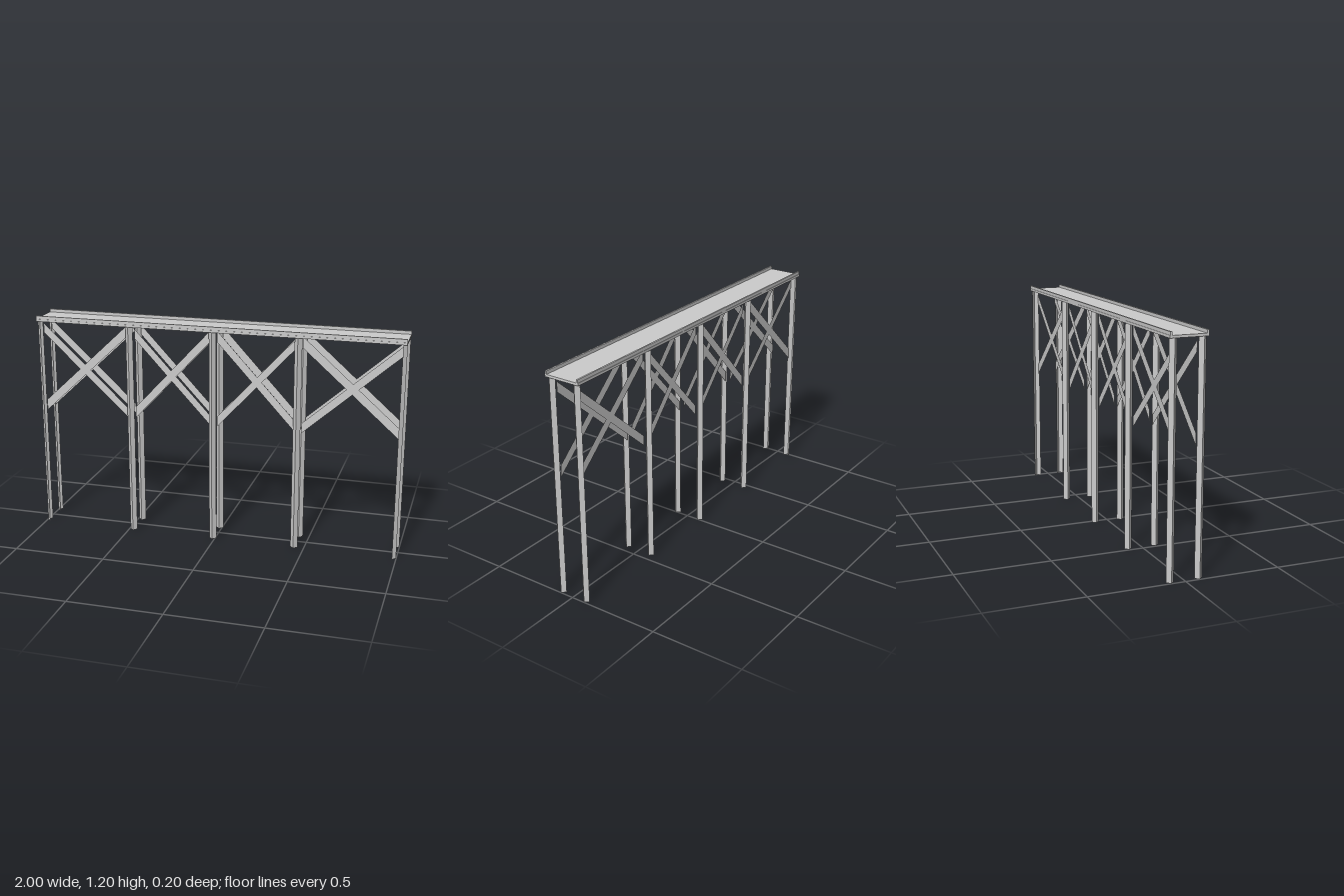
import * as THREE from 'three';

export function createModel() {
  const group = new THREE.Group();
  group.name = 'trestleBridge';
  const solid = new THREE.MeshStandardMaterial({ color: 0xcccccc, flatShading: true });
  const thin = new THREE.MeshStandardMaterial({ color: 0xcccccc, flatShading: true, side: THREE.DoubleSide });

  const add = (name, geometry, material, x = 0, y = 0, z = 0) => {
    const mesh = new THREE.Mesh(geometry, material);
    mesh.name = name;
    mesh.position.set(x, y, z);
    group.add(mesh);
    return mesh;
  };

  const deckBottom = 1.17, radius = 0.02;
  const postX = [-0.475, -0.013, 0.445];
  const rows = [{ z: 0.075, braceZ: 0.05 }, { z: -0.074, braceZ: -0.06 }];

  // Deck slab with a low curb along each edge
  add('deck', new THREE.BoxGeometry(2, 0.013, 0.198), solid, 0, deckBottom + 0.0065, 0);
  for (const s of [1, -1]) {
    add('curb', new THREE.BoxGeometry(2, 0.02, 0.009), solid, 0, 1.19, s * 0.0925);
  }

  // Diagonal brace: a thin strip with ends cut upright against the posts
  const brace = (x0, low0, high0, x1, low1, high1, z) => {
    const shape = new THREE.Shape([
      new THREE.Vector2(x0, low0), new THREE.Vector2(x1, low1),
      new THREE.Vector2(x1, high1), new THREE.Vector2(x0, high0),
    ]);
    add('brace', new THREE.ShapeGeometry(shape), thin, 0, 0, z);
  };

  for (const { z, braceZ } of rows) {
    // Square middle posts, set corner-on
    for (const x of postX) {
      add('post', new THREE.CylinderGeometry(radius, radius, deckBottom, 4), solid, x, deckBottom / 2, z);
    }
    // End posts: open half sections with the corner facing outwards
    for (const s of [1, -1]) {
      const half = new THREE.CylinderGeometry(radius, radius, deckBottom, 2, 1, true,
        s > 0 ? 0 : Math.PI, Math.PI);
      add('endPost', half, thin, s * 0.979, deckBottom / 2, z);
    }
    // Crossed braces in each bay; the outer-to-inner pair mirrors about the centre
    const line = [-0.979, ...postX, 0.979];
    for (let i = 0; i < 4; i++) {
      const x0 = line[i] + (i ? radius : 0);
      const x1 = line[i + 1] - (i < 3 ? radius : 0);
      const [a, b] = i < 2 ? [x0, x1] : [x1, x0];
      brace(a, 0.655, 0.715, b, 1.108, 1.168, braceZ);
      brace(a, 1.098, 1.152, b, 0.645, 0.7, braceZ - Math.sign(braceZ) * 0.002);
    }
  }
  return group;
}
